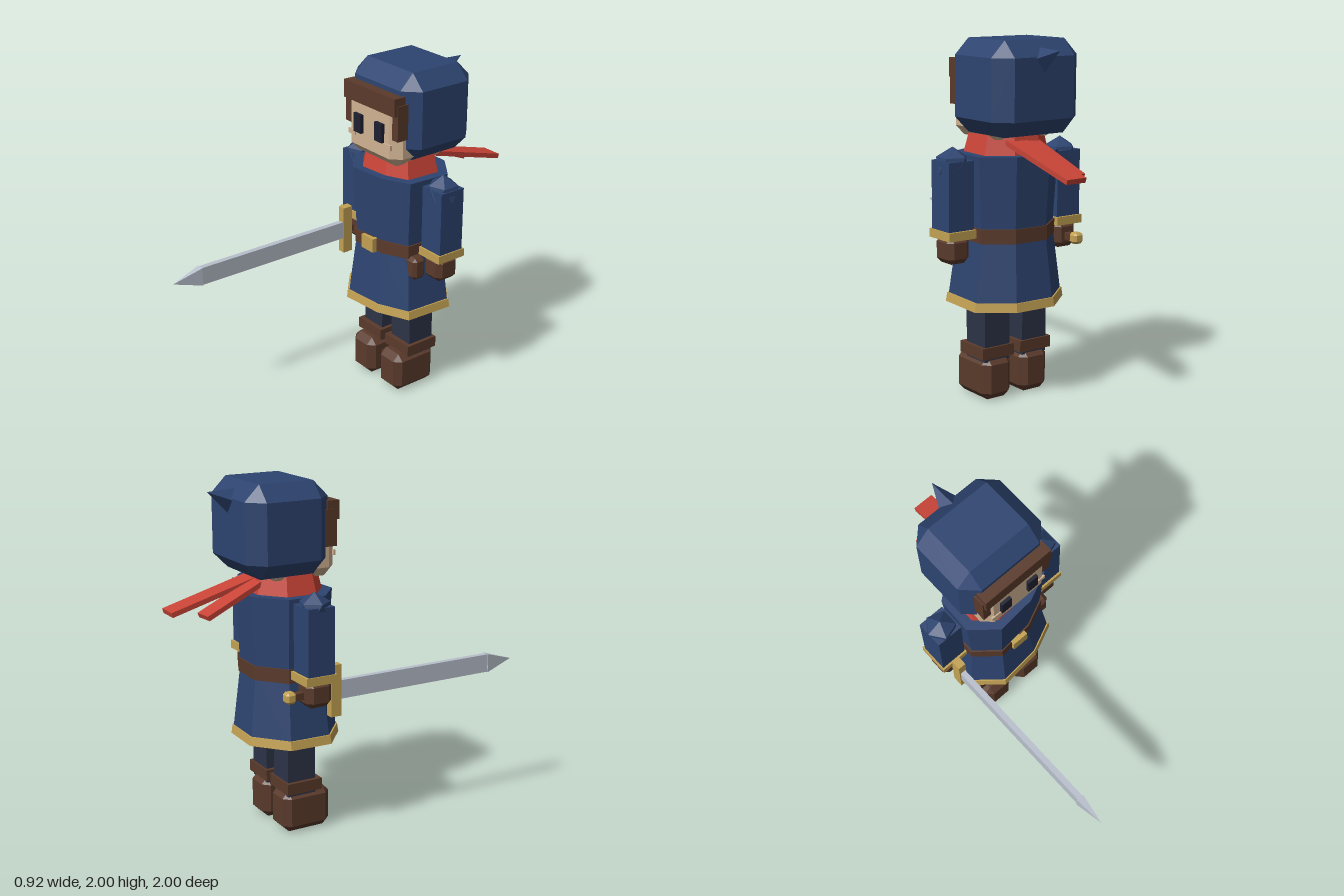
import * as THREE from 'three';
import { ConvexGeometry } from 'three/addons/geometries/ConvexGeometry.js';

const paint = (name, color) => {
  const m = new THREE.MeshStandardMaterial({ color });
  m.name = name;
  m.flatShading = true;
  return m;
};

// Eight-sided outline of the tunic, as x and z around the body axis
const BODY_Z = -0.333;
const OUTLINE = [
  [-0.155, 0.275], [0.11, 0.253], [0.3, 0.168], [0.315, -0.132],
  [0.13, -0.267], [-0.12, -0.275], [-0.31, -0.117], [-0.32, 0.133],
];

// Tapered slice of the tunic outline between two heights
function slice(y0, k0, y1, k1) {
  const pts = [];
  for (const [y, k] of [[y0, k0], [y1, k1]])
    for (const [x, z] of OUTLINE) pts.push(new THREE.Vector3(x * k, y, BODY_Z + z * k));
  return new ConvexGeometry(pts);
}

// Box with all edges and corners cut by c
function cutBox(w, h, d, c) {
  const pts = [];
  for (const sx of [-1, 1]) for (const sy of [-1, 1]) for (const sz of [-1, 1])
    for (let axis = 0; axis < 3; axis++) {
      const p = [w, h, d].map((s, i) => s / 2 - (i === axis ? 0 : c));
      pts.push(new THREE.Vector3(p[0] * sx, p[1] * sy, p[2] * sz));
    }
  return new ConvexGeometry(pts);
}

export function createModel() {
  const navy = paint('navy cloth', 0x2d4470);
  const trouser = paint('dark trousers', 0x2d3448);
  const brown = paint('brown leather', 0x5a3a2b);
  const red = paint('red scarf', 0xc94437);
  const gold = paint('gold trim', 0xc4a253);
  const skin = paint('skin', 0xd2b494);
  const steel = paint('steel', 0xb8c0cc);
  const dark = paint('eye black', 0x1e2030);

  const model = new THREE.Group();
  model.name = 'swordsman';
  const add = (name, geometry, material, parent = model) => {
    const mesh = new THREE.Mesh(geometry, material);
    mesh.name = name;
    parent.add(mesh);
    return mesh;
  };
  // Box given by its min and max on each axis, with optional cut edges
  const block = (name, mat, x0, x1, y0, y1, z0, z1, cut = 0, parent = model) => {
    const s = [x1 - x0, y1 - y0, z1 - z0];
    const mesh = add(name, cut ? cutBox(...s, cut) : new THREE.BoxGeometry(...s), mat, parent);
    mesh.position.set((x0 + x1) / 2, (y0 + y1) / 2, (z0 + z1) / 2);
    return mesh;
  };
  // The same, placed on side s (+1 left, -1 right)
  const sided = (s, name, mat, x0, x1, ...rest) =>
    block((s > 0 ? 'left' : 'right') + name, mat, s > 0 ? x0 : -x1, s > 0 ? x1 : -x0, ...rest);

  // Tunic, belt and hem
  add('tunicTop', slice(0.95, 0.8, 1.38, 0.885), navy);
  add('tunicSkirt', slice(0.545, 0.965, 0.95, 0.8), navy);
  add('hemTrim', slice(0.535, 1, 0.585, 0.975), gold);
  add('skirtLining', slice(0.531, 0.92, 0.6, 0.9), navy);
  add('belt', slice(0.905, 0.835, 0.985, 0.835), brown);
  block('buckle', gold, -0.053, 0.05, 0.9, 0.985, -0.15, -0.09);
  block('pouch', brown, 0.19, 0.31, 0.785, 0.92, -0.28, -0.19, 0.02);

  // Scarf
  add('scarfCollar', slice(1.37, 0.71, 1.49, 0.62), red);
  const tail = (name, w, from, to) => {
    const a = new THREE.Vector3(...from), b = new THREE.Vector3(...to);
    const mesh = add(name, new THREE.BoxGeometry(w, 0.028, a.distanceTo(b)), red);
    mesh.position.copy(a).lerp(b, 0.5);
    mesh.lookAt(b);
  };
  tail('longScarfTail', 0.127, [0.062, 1.45, -0.48], [0.062, 1.307, -0.995]);
  tail('shortScarfTail', 0.108, [-0.03, 1.45, -0.48], [-0.07, 1.295, -0.845]);

  // Legs and arms
  for (const s of [1, -1]) {
    sided(s, 'Leg', trouser, 0.045, 0.213, 0.22, 0.6, -0.42, -0.245);
    sided(s, 'BootCuff', brown, 0.022, 0.236, 0.24, 0.306, -0.433, -0.215);
    sided(s, 'Boot', brown, 0.03, 0.225, 0, 0.245, -0.443, -0.145, 0.04);
    sided(s, 'Arm', navy, 0.289, 0.45, 0.97, 1.36, -0.418, -0.255);
    sided(s, 'SleeveTrim', gold, 0.282, 0.457, 0.937, 0.985, -0.432, -0.243);
    sided(s, 'Hand', brown, 0.298, 0.442, 0.8, 0.95, -0.412, -0.258, 0.03);
    const ico = new THREE.IcosahedronGeometry(0.098, 0).rotateZ(Math.atan(2 / (1 + Math.sqrt(5))));
    add((s > 0 ? 'left' : 'right') + 'ShoulderCap', ico, navy).position.set(s * 0.37, 1.335, -0.335);
  }

  // Head and hood
  block('head', skin, -0.225, 0.225, 1.465, 1.86, -0.52, -0.105, 0.055);
  block('hood', navy, -0.287, 0.287, 1.49, 2, -0.655, -0.155, 0.088);
  const spike = add('hoodPoint', new THREE.ConeGeometry(0.085, 0.19, 4), navy);
  const dir = new THREE.Vector3(0, 0.06, -0.155).normalize();
  spike.quaternion.setFromUnitVectors(new THREE.Vector3(0, 1, 0), dir);
  spike.position.set(0, 1.95, -0.775).addScaledVector(dir, -0.095);

  // Hair and face
  block('fringe', brown, -0.225, 0.225, 1.78, 1.885, -0.17, -0.095);
  for (const s of [1, -1]) {
    sided(s, 'SideHair', brown, 0.183, 0.232, 1.635, 1.84, -0.188, -0.115);
    sided(s, 'Eye', dark, 0.06, 0.127, 1.605, 1.715, -0.11, -0.086);
    sided(s, 'Cheek', skin, 0.128, 0.188, 1.575, 1.605, -0.11, -0.098);
  }

  // Sword in the right hand, pointing forward
  const sword = new THREE.Group();
  sword.name = 'sword';
  sword.position.set(-0.37, 0.868, 0);
  model.add(sword);
  block('blade', steel, -0.017, 0.017, -0.053, 0.053, -0.2, 0.82, 0, sword);
  const tip = new THREE.ConeGeometry(Math.SQRT1_2, 0.18, 4, 1).rotateY(Math.PI / 4).rotateX(Math.PI / 2);
  add('bladeTip', tip.scale(0.046, 0.11, 1), steel, sword).position.z = 0.91;
  block('guard', gold, -0.024, 0.024, -0.148, 0.148, -0.245, -0.18, 0, sword);
  block('grip', brown, -0.02, 0.02, -0.02, 0.02, -0.48, -0.2, 0, sword);
  block('pommel', gold, -0.032, 0.032, -0.032, 0.032, -0.522, -0.46, 0.014, sword);

  return model;
}
